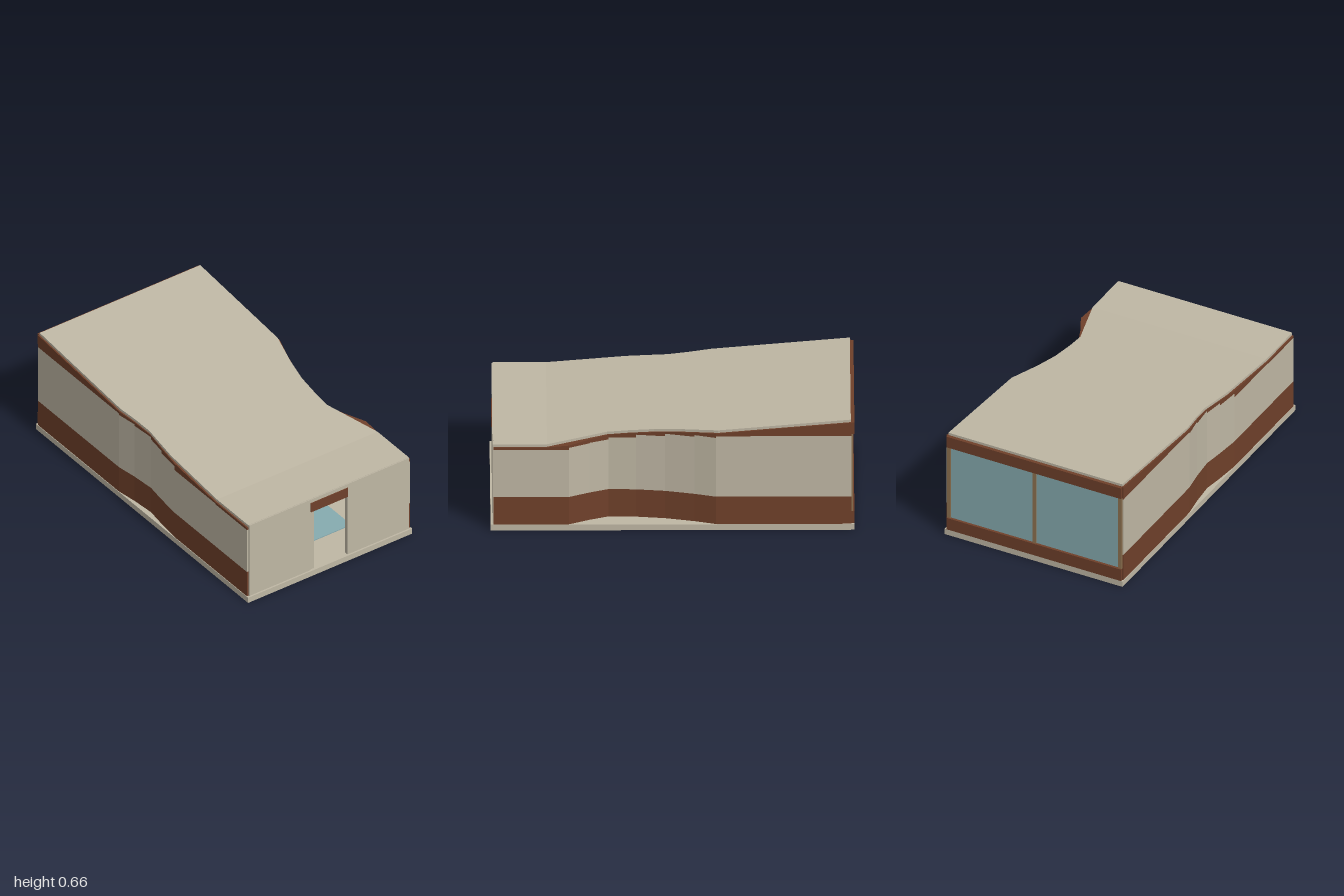
import * as THREE from 'three';

const mat = (name, color) => Object.assign(new THREE.MeshStandardMaterial({ color }), { name });

export function createModel() {
  const plaster = mat('warm grey plaster', 0xbfb7a4);
  const brown = mat('brown cladding', 0x6f402a);
  const glass = mat('blue glass', 0x86abb0);
  const timber = mat('tan timber', 0x8f7250);
  const model = new THREE.Group();
  model.name = 'pavilion';

  const add = (name, geometry, material, parent = model) => {
    const mesh = new THREE.Mesh(geometry, material);
    mesh.name = name;
    parent.add(mesh);
    return mesh;
  };
  // Box given by its limits on each axis
  const box = (name, x0, x1, y0, y1, z0, z1, material) => {
    const g = new THREE.BoxGeometry(x1 - x0, y1 - y0, z1 - z0);
    g.translate((x0 + x1) / 2, (y0 + y1) / 2, (z0 + z1) / 2);
    return add(name, g, material);
  };
  // Rectangular cross-section at depth z
  const section = (z, xL, xR, yb, yt) => [[xR, yb, z], [xR, yt, z], [xL, yt, z], [xL, yb, z]];
  // Flat-faced solid through cross-sections ordered from front to back
  const loft = (sections) => {
    const pos = [];
    const quad = (a, b, c, d) => pos.push(...a, ...b, ...c, ...a, ...c, ...d);
    for (let i = 0; i < sections.length - 1; i++) {
      const A = sections[i], B = sections[i + 1];
      for (let j = 0; j < 4; j++) {
        const k = (j + 1) % 4;
        quad(A[j], B[j], B[k], A[k]);
      }
    }
    quad(...sections[0]);
    quad(...[...sections[sections.length - 1]].reverse());
    const g = new THREE.BufferGeometry();
    g.setAttribute('position', new THREE.Float32BufferAttribute(pos, 3));
    g.computeVertexNormals();
    return g;
  };
  // x on a plan outline [z, x] at depth z
  const along = (path, z) => {
    for (let i = 0; i < path.length - 1; i++) {
      const [z0, x0] = path[i], [z1, x1] = path[i + 1];
      if (z <= z0 && z >= z1) return x0 + (x1 - x0) * (z0 - z) / (z0 - z1);
    }
    return path[path.length - 1][1];
  };

  // Roof: level at the front, then rising to the back
  const bend = 0.69, roofThick = 0.015;
  const roofTop = (z) => 0.515 + Math.max(0, bend - z) * 0.0868;
  const roofLeft = [[0.985, 0.543], [bend, 0.543], [0.5, 0.485], [0.36, 0.442], [0.25, 0.444],
    [0.1, 0.456], [-0.05, 0.487], [-0.25, 0.543], [-0.98, 0.543]];
  const roofRight = [[0.985, -0.543], [bend, -0.543], [0.25, -0.54], [0.1, -0.526], [0.02, -0.518],
    [-0.1, -0.527], [-0.22, -0.543], [-0.98, -0.543]];
  const roofZ = [...new Set([...roofLeft, ...roofRight].map((p) => p[0]))].sort((a, b) => b - a);
  add('roof', loft(roofZ.map((z) =>
    section(z, along(roofRight, z), along(roofLeft, z), roofTop(z) - roofThick, roofTop(z)))), plaster);
  box('frontRoofEdge', -0.54, 0.54, 0.49, 0.513, 0.965, 0.99, plaster);

  // Floor slab
  const floor = 0.035;
  box('floorSlab', -0.555, 0.555, 0, floor, -1, 1, plaster);

  // Curved side walls; each point is [z, x, top of the plaster up to the next point]
  const leftPath = [[0.985, 0.552, 0.485], [bend, 0.552, 0.485], [0.57, 0.552, 0.497], [0.455, 0.492, 0.5],
    [0.35, 0.447, 0.512], [0.2, 0.452, 0.53], [0.04, 0.473, 0.545], [-0.12, 0.513, 0.555],
    [-0.24, 0.552, 0.565], [-0.985, 0.552, 0.565]];
  const rightPath = [[0.985, -0.552, 0.485], [bend, -0.552, 0.49], [0.3, -0.552, 0.515], [0.16, -0.538, 0.53],
    [0.04, -0.522, 0.545], [-0.1, -0.534, 0.555], [-0.22, -0.552, 0.565], [-0.985, -0.552, 0.565]];
  const bandTop = 0.2;
  const sideWall = (name, path, side) => {
    const wall = new THREE.Group();
    wall.name = name;
    model.add(wall);
    const ring = (z, x, thick, yb, yt) =>
      section(z, side > 0 ? x - thick : x, side > 0 ? x : x + thick, yb, yt);
    add('lowerBand', loft(path.map(([z, x]) => ring(z, x, 0.02, floor, bandTop))), brown, wall);
    for (let i = 0; i < path.length - 1; i++) {
      const [z0, x0, top] = path[i], [z1, x1] = path[i + 1];
      add('wallPanel', loft([ring(z0, x0, 0.02, bandTop, top), ring(z1, x1, 0.02, bandTop, top)]), plaster, wall);
      add('fascia', loft([ring(z0, x0, 0.05, top, roofTop(z0) - roofThick),
        ring(z1, x1, 0.05, top, roofTop(z1) - roofThick)]), brown, wall);
    }
  };
  sideWall('leftWall', leftPath, 1);
  sideWall('rightWall', rightPath, -1);

  // Front wall with door opening, header and open door leaf
  for (const s of [-1, 1]) {
    box('frontWall', Math.min(s * 0.125, s * 0.54), Math.max(s * 0.125, s * 0.54), floor, 0.49, 0.965, 0.99, plaster);
  }
  box('doorHeader', -0.125, 0.125, 0.43, 0.49, 0.965, 0.995, brown);
  box('doorLeaf', -0.124, -0.1, floor, 0.43, 0.7, 0.985, plaster);
  box('floorGlass', -0.06, 0.3, floor, 0.04, 0.55, 0.78, glass);

  // Glazed back wall
  box('backSill', -0.545, 0.545, floor, 0.11, -1, -0.975, brown);
  box('backHeader', -0.545, 0.545, 0.575, 0.645, -1, -0.975, brown);
  box('backGlass', -0.53, 0.53, 0.11, 0.575, -0.985, -0.979, glass);
  for (const x of [-0.535, 0, 0.535]) {
    box('mullion', x - 0.011, x + 0.011, 0.11, 0.575, -0.993, -0.973, timber);
  }
  return model;
}
